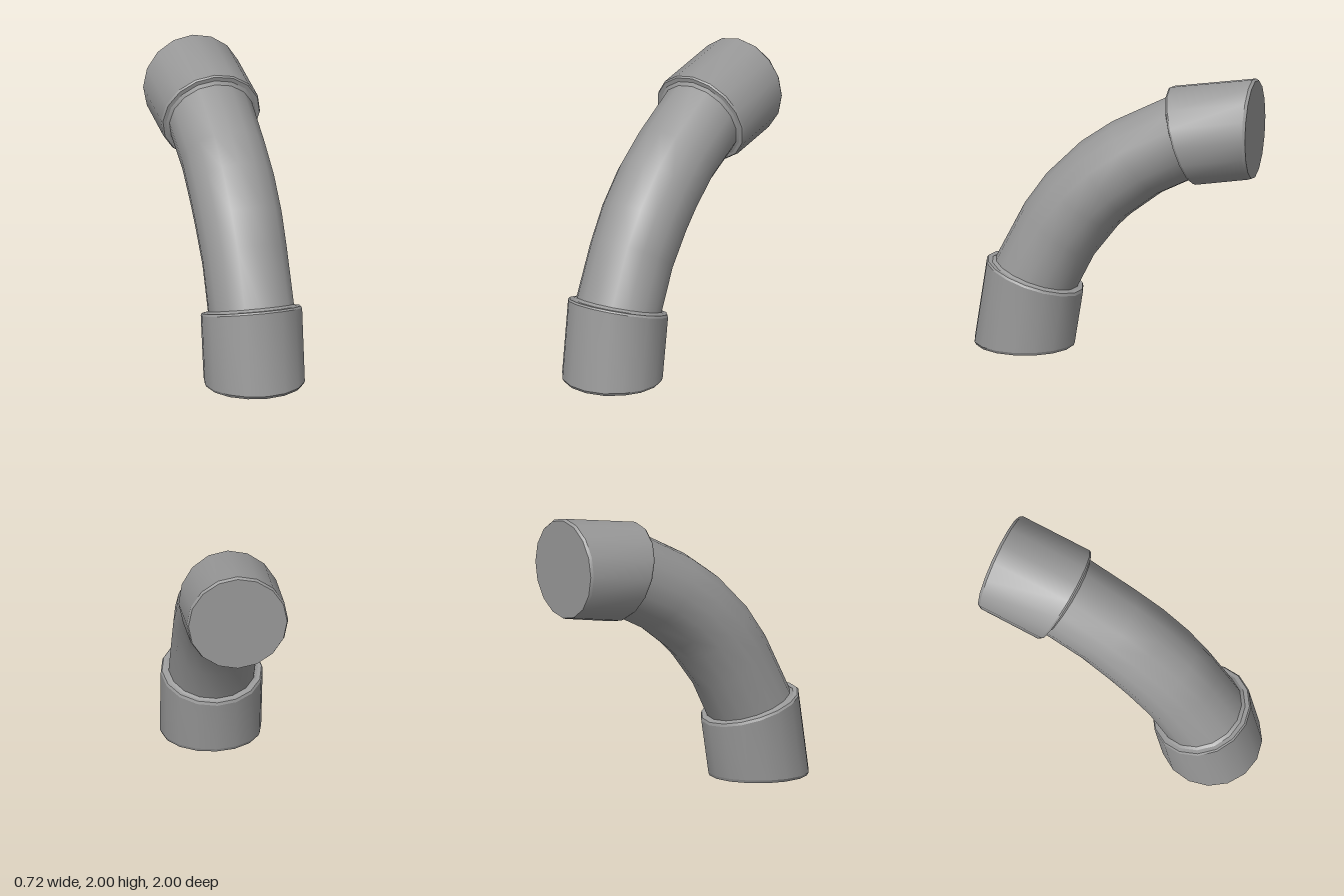
import * as THREE from 'three';
import { mergeGeometries } from 'three/addons/utils/BufferGeometryUtils.js';

const SIDES = 16;
const material = new THREE.MeshStandardMaterial({ color: 0x999999 });

// Smooth loft through round sections, each given by its outer and inner point of the bend:
// [outer z, outer y, inner z, inner y]
function loft(rings) {
  const pos = [], index = [];
  const at = (i, j) => i * SIDES + (j % SIDES);
  for (const [zo, yo, zi, yi] of rings) {
    const hz = (zo - zi) / 2, hy = (yo - yi) / 2, r = Math.hypot(hz, hy);
    for (let j = 0; j < SIDES; j++) {
      const t = (j / SIDES) * Math.PI * 2, c = Math.cos(t);
      pos.push(r * Math.sin(t), (yo + yi) / 2 + hy * c, (zo + zi) / 2 + hz * c);
    }
  }
  for (let i = 0; i < rings.length - 1; i++) {
    for (let j = 0; j < SIDES; j++) {
      const a = at(i, j), b = at(i, j + 1), c = at(i + 1, j), d = at(i + 1, j + 1);
      index.push(a, b, c, b, d, c);
    }
  }
  const geo = new THREE.BufferGeometry();
  geo.setAttribute('position', new THREE.Float32BufferAttribute(pos, 3));
  geo.setIndex(index);
  geo.computeVertexNormals();
  return geo;
}

// Loft with a sharp edge at every section
const sharpLoft = (rings) =>
  mergeGeometries(rings.slice(1).map((ring, i) => loft([rings[i], ring])));

// Mirror sections across the bend's diagonal, in opposite order
const mirror = (rings) =>
  rings.map(([zo, yo, zi, yi]) => [yo - 1, zo + 1, yi - 1, zi + 1]).reverse();

export function createModel() {
  const group = new THREE.Group();
  const add = (name, geo) => {
    const mesh = new THREE.Mesh(geo, material);
    mesh.name = name;
    group.add(mesh);
  };

  // Curved pipe: lower half of the bend, then its mirrored half
  const half = [
    [0.855, 0.595, 0.275, 0.41],
    [0.64, 1.016, 0.147, 0.665],
    [0.483, 1.239, -0.024, 0.888],
  ];
  add('bentPipe', loft([...half, ...mirror(half)]));

  // Mitred collar: flat end, bevelled foot, straight wall, bevelled lip, chamfer up to the pipe
  const collar = [
    [0.641, 0, 0.641, 0],
    [0.985, 0, 0.292, 0],
    [0.997, 0.02, 0.285, 0.02],
    [0.909, 0.606, 0.227, 0.388],
    [0.898, 0.617, 0.232, 0.409],
    [0.868, 0.609, 0.25, 0.416],
    [0.838, 0.622, 0.274, 0.43],
  ];
  add('lowerCollar', sharpLoft(collar));
  add('upperCollar', sharpLoft(mirror(collar)));

  return group;
}
